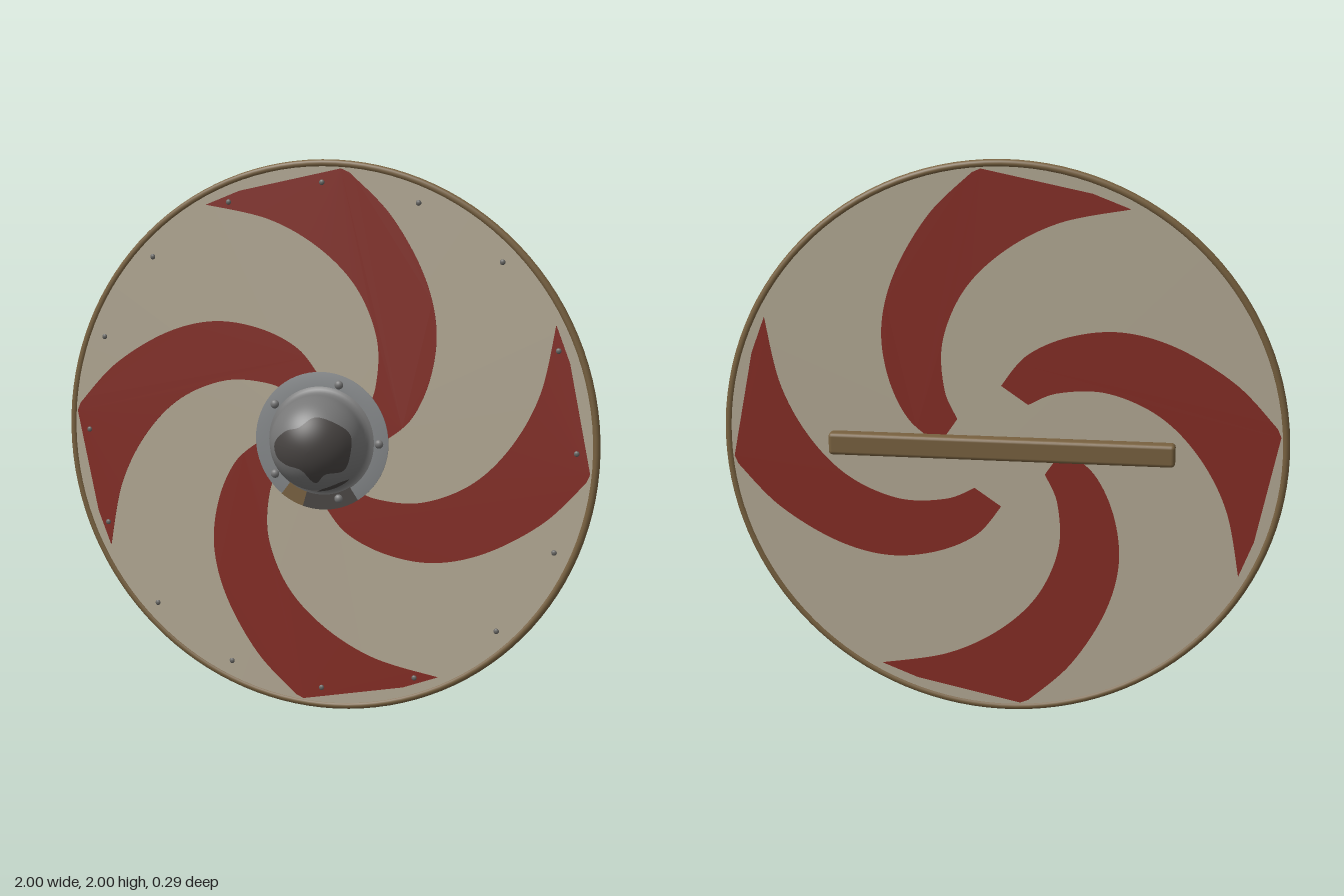
import * as THREE from 'three';
import { RoundedBoxGeometry } from 'three/addons/geometries/RoundedBoxGeometry.js';

const mat = (name, color, side = THREE.FrontSide) => {
  const m = new THREE.MeshStandardMaterial({ color, side });
  m.name = name;
  return m;
};
const V2 = (x, y) => new THREE.Vector2(x, y);

const BOARD_Z = -0.082;
const DOME_Z = -0.028;
const DOME_R = 0.172;

// Closed patch lying on the dome: a planar outline filled with rings and pushed onto the sphere
function domePatch(outline, radius) {
  const rim = new THREE.CatmullRomCurve3(
    outline.map(([x, y]) => new THREE.Vector3(x, y, 0)), true).getPoints(64);
  const centre = new THREE.Vector3();
  outline.forEach(([x, y]) => centre.add(new THREE.Vector3(x, y, 0)));
  centre.divideScalar(outline.length);
  const n = rim.length - 1, rings = 10, pos = [], index = [];
  for (let r = 0; r <= rings; r++) {
    for (let i = 0; i <= n; i++) {
      const p = centre.clone().lerp(rim[i], r / rings);
      p.z = Math.sqrt(Math.max(0, radius * radius - p.x * p.x - p.y * p.y));
      pos.push(p.x, p.y, p.z);
      if (r < rings && i < n) {
        const a = r * (n + 1) + i, b = a + n + 1;
        index.push(a, b, a + 1, b, b + 1, a + 1);
      }
    }
  }
  const g = new THREE.BufferGeometry();
  g.setAttribute('position', new THREE.Float32BufferAttribute(pos, 3));
  g.setIndex(index);
  g.computeVertexNormals();
  return g;
}

export function createModel() {
  const cream = mat('cream paint', 0xb3a994);
  const red = mat('red paint', 0x852c24);
  const wood = mat('brown wood', 0x78613f);
  const steel = mat('steel', 0x777777);
  const flangeSteel = mat('pale steel', 0x85888a);
  const dark = mat('tarnished steel', 0x484442, THREE.DoubleSide);
  const stud = mat('stud metal', 0x686764);

  const model = new THREE.Group();
  model.name = 'roundShield';
  const body = new THREE.Group();
  body.name = 'shieldBody';
  body.position.y = 1;
  model.add(body);

  const add = (name, geometry, material, x = 0, y = 0, z = 0) => {
    const mesh = new THREE.Mesh(geometry, material);
    mesh.name = name;
    mesh.position.set(x, y, z);
    body.add(mesh);
    return mesh;
  };

  // Board and rim
  add('board', new THREE.CylinderGeometry(0.985, 0.985, 0.018, 96).rotateX(Math.PI / 2), cream, 0, 0, BOARD_Z);
  add('rim', new THREE.TorusGeometry(0.986, 0.014, 12, 120), wood, 0, 0, BOARD_Z);

  // Four painted swirl arms, showing on both faces of the board
  const arm = new THREE.Shape();
  arm.moveTo(-0.44, 0.84);
  arm.lineTo(-0.31, 0.89);
  arm.lineTo(0.07, 0.968);
  arm.lineTo(0.1, 0.955);
  arm.splineThru([V2(0.25, 0.81), V2(0.37, 0.61), V2(0.42, 0.42), V2(0.4, 0.24), V2(0.33, 0.09), V2(0.22, 0)]);
  arm.lineTo(0.155, 0.095);
  arm.splineThru([V2(0.2, 0.2), V2(0.205, 0.37), V2(0.13, 0.55), V2(-0.01, 0.69), V2(-0.2, 0.79), V2(-0.44, 0.84)]);
  const armGeometry = new THREE.ExtrudeGeometry(arm, { depth: 0.021, bevelEnabled: false, curveSegments: 40 });
  for (let i = 0; i < 4; i++) {
    add('swirlArm', armGeometry, red, 0, 0, BOARD_Z - 0.0105).rotation.z = i * Math.PI / 2;
  }

  // Studs around the edge
  const edgeStud = new THREE.SphereGeometry(0.01, 12, 8).scale(1, 1, 0.6);
  for (let i = 0; i < 16; i++) {
    const a = i * Math.PI / 8;
    add('edgeStud', edgeStud, stud, 0.92 * Math.cos(a), 0.92 * Math.sin(a), -0.071);
  }

  // Boss: flat flange, then a fillet running up into the dome
  const flange = [V2(0.25, -0.074), V2(0.25, -0.066), V2(0.185, -0.064)];
  add('bossFlange', new THREE.LatheGeometry(flange, 64).rotateX(Math.PI / 2), flangeSteel);
  const dome = [V2(0.2, -0.065), V2(0.187, -0.061), V2(0.177, -0.052), V2(0.173, -0.04)];
  for (let i = 0; i <= 20; i++) {
    const a = (i / 20) * Math.PI / 2;
    dome.push(V2(DOME_R * Math.cos(a), DOME_Z + DOME_R * Math.sin(a)));
  }
  add('bossDome', new THREE.LatheGeometry(dome, 64).rotateX(Math.PI / 2), steel);

  // Tarnish on the front and underside of the dome
  const frontBlot = [[-0.12, 0.01], [-0.07, 0.06], [-0.02, 0.075], [0.03, 0.11], [0.1, 0.09], [0.145, 0.05],
    [0.15, -0.01], [0.125, -0.08], [0.07, -0.09], [0.03, -0.125], [-0.01, -0.075], [-0.07, -0.06], [-0.11, -0.035]];
  add('frontTarnish', domePatch(frontBlot, DOME_R + 0.002), dark, 0, 0, DOME_Z);
  const lowerBlot = [[-0.05, 0.0], [0.0, 0.03], [0.04, 0.07], [0.1, 0.06], [0.12, 0.01], [0.09, -0.01], [0, -0.012]];
  add('lowerTarnish', domePatch(lowerBlot, DOME_R + 0.002).rotateX(Math.PI / 2), dark, 0, 0, DOME_Z);

  // Stained sectors at the bottom of the flange
  const sector = (name, from, to, material) => add(name,
    new THREE.RingGeometry(0.19, 0.25, 16, 1, THREE.MathUtils.degToRad(from), THREE.MathUtils.degToRad(to - from)),
    material, 0, 0, -0.0635);
  sector('flangeTarnish', 254, 304, dark);
  sector('flangeRust', 233, 254, wood);

  // Boss rivets
  const rivet = new THREE.SphereGeometry(0.016, 16, 10).scale(1, 1, 0.8);
  for (let i = 0; i < 5; i++) {
    const a = i * Math.PI * 2 / 5;
    add('bossRivet', rivet, steel, 0.217 * Math.cos(a), 0.217 * Math.sin(a), -0.063);
  }

  // Hand grip across the back
  add('handGrip', new RoundedBoxGeometry(1.22, 0.08, 0.056, 2, 0.014), wood, 0, 0, -0.116);

  return model;
}
